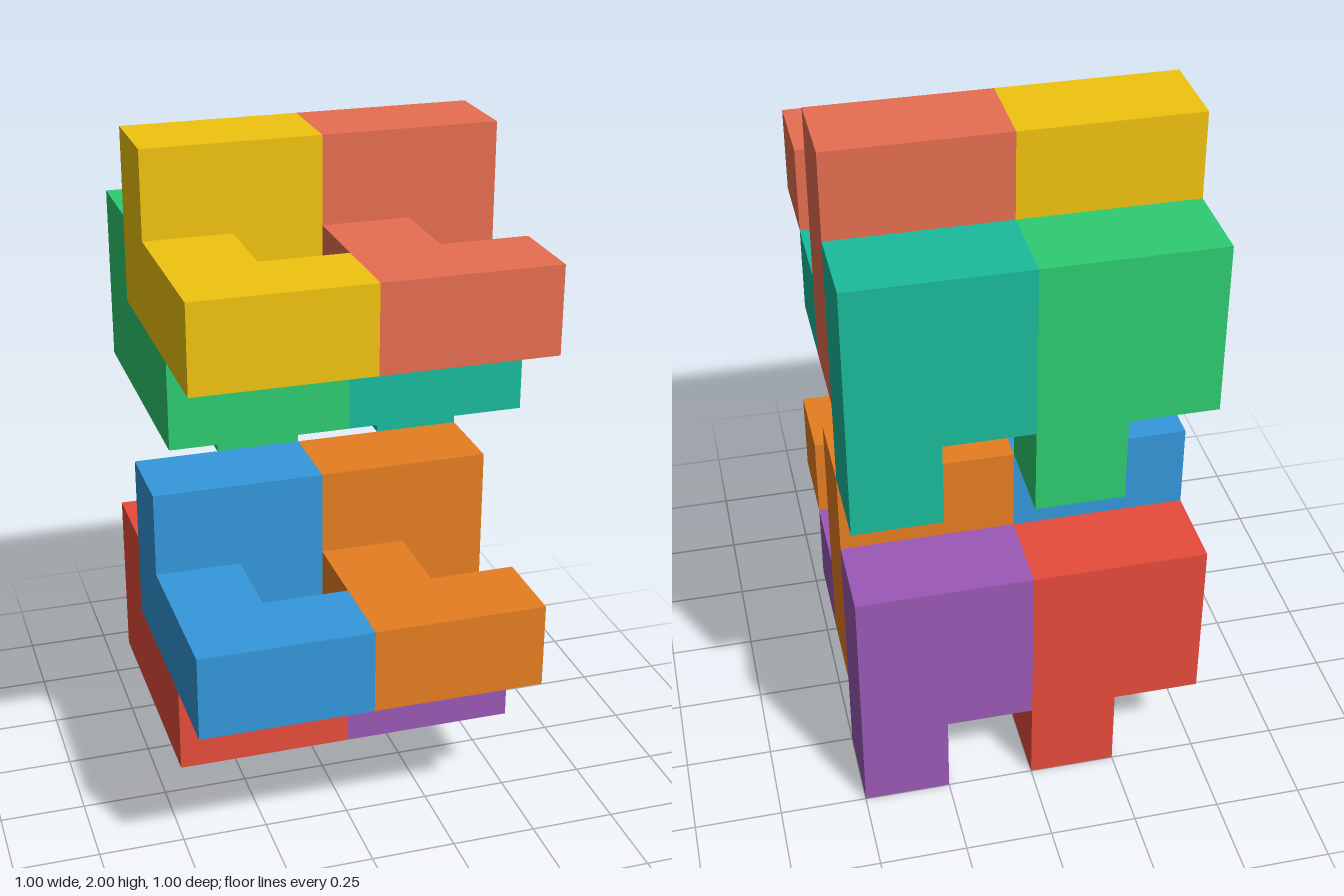
import * as THREE from 'three';

const U = 0.25; // edge of one cube cell

// Straight-sided prism from an outline in cell units, one cell deep
function prism(outline) {
  const shape = new THREE.Shape(outline.map(([a, b]) => new THREE.Vector2(a * U, b * U)));
  return new THREE.ExtrudeGeometry(shape, { depth: U, bevelEnabled: false });
}

// One puzzle piece: an upright slab with a leg, and a flat hook reaching forward
function createPiece(name, color) {
  const material = new THREE.MeshStandardMaterial({ color, flatShading: true });
  const piece = new THREE.Group();
  piece.name = name;

  // Two by two cells, with the leg one cell below on the left
  const slab = new THREE.Mesh(
    prism([[0, 1], [1, 1], [1, 0], [2, 0], [2, 3], [0, 3]]), material);
  slab.name = 'slabWithLeg';

  // Connector cell and a crossbar two cells wide, lying flat
  const hookGeometry = prism([[0, 1], [1, 1], [1, 2], [2, 2], [2, 3], [0, 3]]);
  hookGeometry.rotateX(Math.PI / 2).translate(0, 2 * U, 0);
  const hook = new THREE.Mesh(hookGeometry, material);
  hook.name = 'hook';

  piece.add(slab, hook);
  return piece;
}

export function createModel() {
  const model = new THREE.Group();
  model.name = 'interlockingPieces';

  // Each row: name, colour, and the cell where the piece starts
  const pieces = [
    ['lowerBackRightPiece', 0xe74c3c, [-2, 0, -2]],
    ['lowerBackLeftPiece', 0x9b59b6, [0, 0, -2]],
    ['lowerFrontRightPiece', 0x3498db, [-2, 1, -1]],
    ['lowerFrontLeftPiece', 0xe67e22, [0, 1, -1]],
    ['upperBackRightPiece', 0x2ecc71, [-2, 4, -2]],
    ['upperBackLeftPiece', 0x1abc9c, [0, 4, -2]],
    ['upperFrontRightPiece', 0xf1c40f, [-2, 5, -1]],
    ['upperFrontLeftPiece', 0xe76f51, [0, 5, -1]],
  ];
  for (const [name, color, cell] of pieces) {
    const piece = createPiece(name, color);
    piece.position.set(...cell).multiplyScalar(U);
    model.add(piece);
  }
  return model;
}
